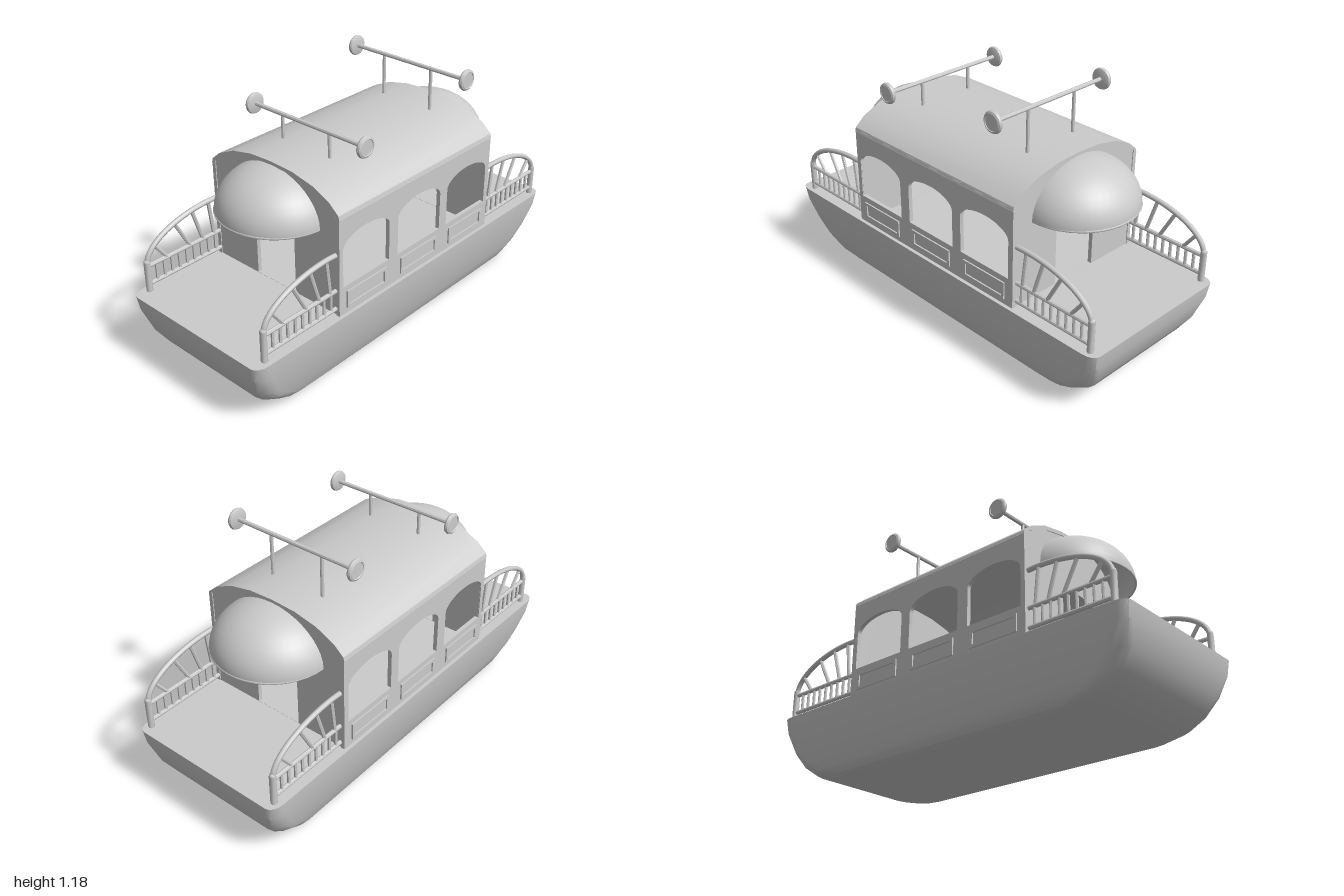
import * as THREE from 'three';
import { toCreasedNormals } from 'three/addons/utils/BufferGeometryUtils.js';

const mat = new THREE.MeshStandardMaterial({ color: 0xcccccc });
const thin = new THREE.MeshStandardMaterial({ color: 0xcccccc, side: THREE.DoubleSide });
const DECK = 0.33, CX = 0.012, X0 = -0.51, X1 = 0.532;

function add(parent, name, geo, x = 0, y = 0, z = 0, m = mat) {
  const mesh = new THREE.Mesh(geo, m);
  mesh.name = name;
  mesh.position.set(x, y, z);
  parent.add(mesh);
  return mesh;
}

// Round bar between two points
function bar(parent, name, a, b, r, sides = 8) {
  const p = new THREE.Vector3(...a), d = new THREE.Vector3(...b).sub(p);
  const mesh = add(parent, name, toCreasedNormals(new THREE.CylinderGeometry(r, r, d.length(), sides), 0.9));
  mesh.position.copy(p).addScaledVector(d, 0.5);
  mesh.quaternion.setFromUnitVectors(new THREE.Vector3(0, 1, 0), d.normalize());
  return mesh;
}

const extrude = (shape, depth) => toCreasedNormals(
  new THREE.ExtrudeGeometry(shape, { depth, bevelEnabled: false, curveSegments: 10 }), 0.5);

// Opening with straight jambs and an arched head
function archHole(x0, x1, y0, ySpring, yTop) {
  const p = new THREE.Path();
  p.moveTo(x0, y0);
  p.lineTo(x1, y0);
  p.lineTo(x1, ySpring);
  p.absellipse((x0 + x1) / 2, ySpring, (x1 - x0) / 2, yTop - ySpring, 0, Math.PI, false);
  p.lineTo(x0, y0);
  return p;
}

function rect(Type, x0, x1, y0, y1) {
  const p = new Type();
  p.moveTo(x0, y0);
  p.lineTo(x1, y0);
  p.lineTo(x1, y1);
  p.lineTo(x0, y1);
  p.closePath();
  return p;
}

// Hull lofted through rounded rectangles: y, half length, half width, corner rx, corner rz
function hullGeometry() {
  const levels = [
    [0, 0.68, 0.28, 0.1, 0.1], [0.012, 0.76, 0.325, 0.12, 0.11], [0.04, 0.85, 0.348, 0.12, 0.1],
    [0.09, 0.915, 0.362, 0.11, 0.08], [0.16, 0.96, 0.376, 0.09, 0.06],
    [0.26, 0.992, 0.397, 0.07, 0.045], [DECK, 1, 0.403, 0.06, 0.04]];
  const pos = [], idx = [], steps = 4, n = 4 * (steps + 1);
  for (const [y, hx, hz, rx, rz] of levels) {
    for (let q = 0; q < 4; q++) {
      const sx = q === 0 || q === 3 ? 1 : -1, sz = q < 2 ? 1 : -1;
      for (let i = 0; i <= steps; i++) {
        const a = (q + i / steps) * Math.PI / 2;
        pos.push(sx * (hx - rx) + rx * Math.cos(a), y, sz * (hz - rz) + rz * Math.sin(a));
      }
    }
  }
  const last = levels.length - 1, bottom = levels.length * n, top = bottom + 1;
  pos.push(0, 0, 0, 0, DECK, 0);
  for (let j = 0; j < n; j++) {
    const k = (j + 1) % n;
    for (let i = 0; i < last; i++) {
      const a = i * n + j, b = i * n + k;
      idx.push(a, a + n, b, b, a + n, b + n);
    }
    idx.push(bottom, j, k, top, last * n + k, last * n + j);
  }
  const g = new THREE.BufferGeometry();
  g.setAttribute('position', new THREE.Float32BufferAttribute(pos, 3));
  g.setIndex(idx);
  return toCreasedNormals(g, 0.5);
}

// Roof outline from +z to -z, optionally inset
function roofPoints(inset) {
  const half = [[0.388, 0.8], [0.383, 0.82], [0.335, 0.862], [0.24, 0.906], [0.125, 0.93]];
  const pts = half.map(([z, y]) => [z - inset, y - (z < 0.38 ? inset : 0)]);
  return [...pts, [0, 0.936 - inset], ...pts.map(([z, y]) => [-z, y]).reverse()]
    .map(([z, y]) => new THREE.Vector2(z, y));
}

function createCabin() {
  const cabin = new THREE.Group();
  cabin.name = 'cabin';
  const centres = [-0.34, CX, 0.358];

  // Side walls with three arched windows and framed panels
  for (const s of [1, -1]) {
    const wall = rect(THREE.Shape, X0, X1, DECK, 0.81);
    for (const c of centres) wall.holes.push(archHole(c - 0.147, c + 0.147, 0.468, 0.65, 0.715));
    add(cabin, 'sideWall', extrude(wall, 0.02), 0, 0, s > 0 ? 0.366 : -0.386);
    for (const c of centres) {
      const frame = rect(THREE.Shape, c - 0.127, c + 0.127, 0.357, 0.44);
      frame.holes.push(rect(THREE.Path, c - 0.113, c + 0.113, 0.371, 0.426));
      add(cabin, 'panelFrame', extrude(frame, 0.008), 0, 0, s > 0 ? 0.385 : -0.393);
    }
  }

  // End walls with an arched doorway; shape x becomes world -z
  for (const x of [X0 + 0.004, X1 - 0.024]) {
    const end = new THREE.Shape([
      new THREE.Vector2(-0.38, DECK), new THREE.Vector2(0.38, DECK), ...roofPoints(0.006)]);
    end.holes.push(archHole(-0.12, 0.12, DECK + 0.001, 0.61, 0.66));
    add(cabin, 'endWall', extrude(end, 0.02), x).rotation.y = Math.PI / 2;
  }

  // Curved roof shell
  const shell = new THREE.Shape([...roofPoints(0), ...roofPoints(0.016).reverse()]);
  add(cabin, 'roof', extrude(shell, X1 - X0), X0).rotation.y = Math.PI / 2;
  return cabin;
}

// Quarter-ellipsoid canopy over a doorway
function createCanopy(s) {
  const g = new THREE.Group();
  g.name = 'canopy';
  const dome = new THREE.SphereGeometry(1, 20, 10, s > 0 ? Math.PI / 2 : -Math.PI / 2, Math.PI, 0, Math.PI / 2);
  dome.scale(0.275, 0.21, 0.277);
  add(g, 'canopyShell', dome, 0, 0, 0, thin);
  const rim = new THREE.TorusGeometry(0.272, 0.006, 6, 20, Math.PI);
  rim.rotateX(Math.PI / 2);
  rim.rotateY(s * Math.PI / 2);
  add(g, 'canopyRim', rim);
  g.position.set(s > 0 ? X1 : X0 + 0.03, 0.711, 0);
  return g;
}

// Arched deck railing, s is the end and t the side
function createRailing(s, t) {
  const g = new THREE.Group();
  g.name = 'railing';
  const z = t * 0.367, X = d => CX + s * d;
  const inner = 0.525, outer = 0.94, base = 0.46;
  bar(g, 'railPost', [X(outer), DECK, z], [X(outer), 0.475, z], 0.015);
  add(g, 'postCap', new THREE.SphereGeometry(0.015, 8, 6), X(outer), 0.475, z);
  bar(g, 'lowerRail', [X(inner), 0.365, z], [X(outer), 0.365, z], 0.01);
  bar(g, 'middleRail', [X(inner), 0.455, z], [X(outer), 0.455, z], 0.01);
  for (let i = 0; i < 9; i++) {
    const x = X(0.555 + i * 0.042);
    bar(g, 'baluster', [x, 0.365, z], [x, 0.455, z], 0.0075, 6);
  }
  const arcPoint = a => [X(0.565 + 0.375 * Math.cos(a)), base + 0.172 * Math.sin(a), z];
  const pts = [];
  for (let i = 0; i <= 10; i++) pts.push(new THREE.Vector3(...arcPoint(i / 10 * Math.PI / 2)));
  pts.push(new THREE.Vector3(X(inner), base + 0.17, z));
  add(g, 'archRail', new THREE.TubeGeometry(new THREE.CatmullRomCurve3(pts), 24, 0.012, 8));
  // Fan of spokes: angle on the arch, foot on the middle rail
  for (const [a, foot] of [[0.5, 0.83], [0.97, 0.7], [1.27, 0.625], [1.53, 0.56]])
    bar(g, 'spoke', [X(foot), 0.455, z], arcPoint(a), 0.009, 6);
  return g;
}

// Roof-mounted crossbar with a disc at each end
function createLampBar(x, y) {
  const g = new THREE.Group();
  g.name = 'lampBar';
  bar(g, 'crossbar', [x, y, -0.315], [x, y, 0.34], 0.01);
  for (const z of [0.143, -0.137]) bar(g, 'support', [x, 0.915, z], [x, y, z], 0.008);
  const profile = [[0, -0.012], [0.038, -0.012], [0.047, -0.008], [0.05, 0], [0.047, 0.008], [0.038, 0.012], [0.036, 0.009], [0, 0.009]]
    .map(p => new THREE.Vector2(...p));
  for (const [z, s] of [[0.343, 1], [-0.314, -1]]) {
    const disc = toCreasedNormals(new THREE.LatheGeometry(profile, 20), 0.6);
    add(g, 'lampDisc', disc, x, y, z, thin).rotation.x = s * Math.PI / 2;
  }
  return g;
}

export function createModel() {
  const model = new THREE.Group();
  model.name = 'boat';
  add(model, 'hull', hullGeometry());
  model.add(createCabin());
  for (const s of [1, -1]) {
    model.add(createCanopy(s));
    for (const t of [1, -1]) model.add(createRailing(s, t));
  }
  model.add(createLampBar(-0.305, 1.042), createLampBar(0.37, 1.127));
  return model;
}
